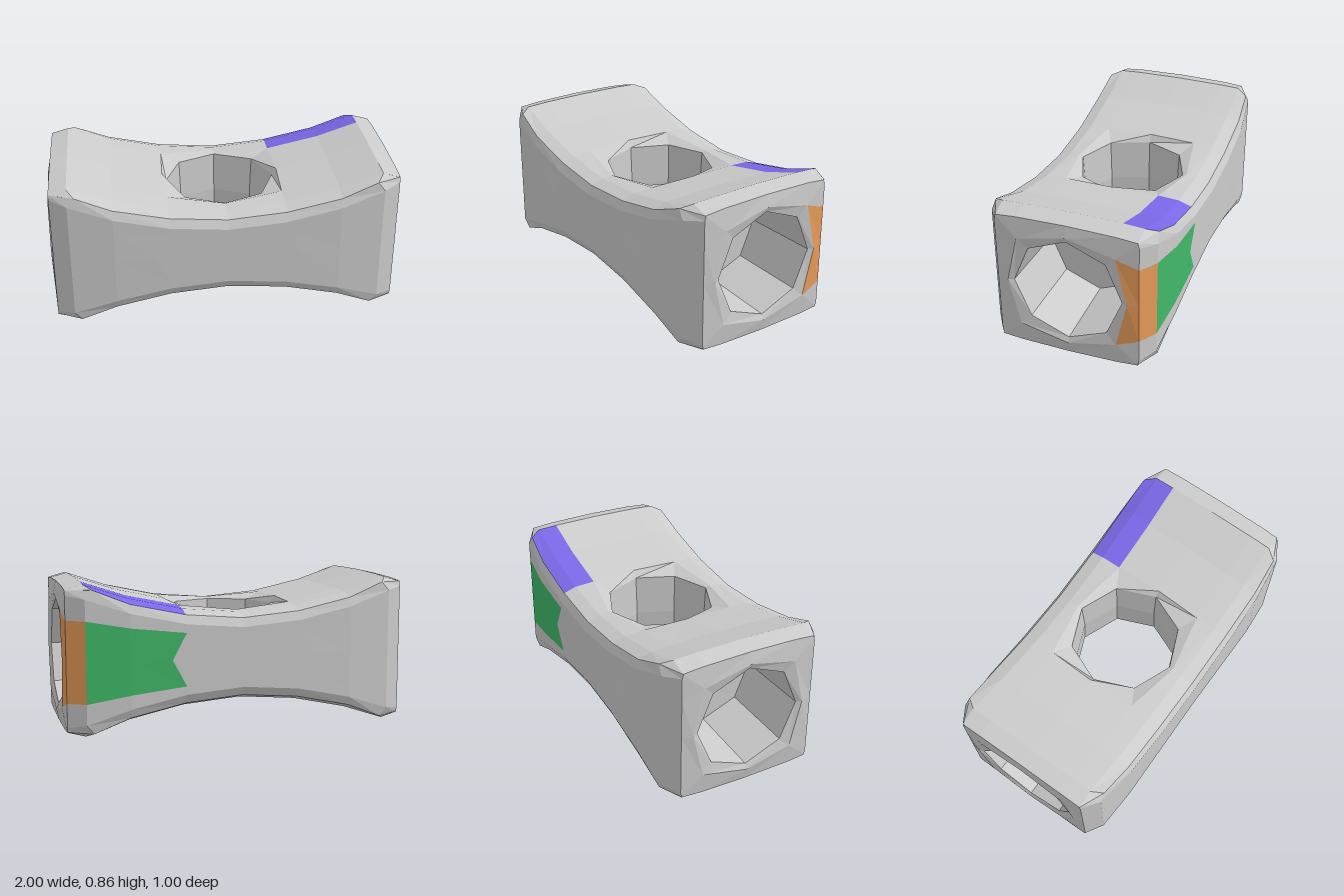
import * as THREE from 'three';

const MID = 0.432; // height of the centre axis
const v = (x, y, z) => new THREE.Vector3(x, y, z);

// Stations along the length: x, half height, half depth
const HALF = [[0, 0.255, 0.5], [0.33, 0.283, 0.5], [0.64, 0.35, 0.495], [0.885, 0.432, 0.47], [0.985, 0.41, 0.405]];
const STATIONS = [...HALF.slice(1).reverse().map(([x, h, w]) => [-x, h, w]), ...HALF];

// One of 24 points round a section: 0 top centre, 6 front, 12 bottom, 18 back
function sectionPoint([x, h, w], k) {
  k = (k + 24) % 24;
  const sz = k <= 12 ? 1 : -1;
  let j = k <= 12 ? k : 24 - k;
  const sy = j <= 6 ? 1 : -1;
  if (j > 6) j = 12 - j;
  const ax = Math.abs(x), end = ax > 0.9;
  const zs = [0, 0.28, 0.4, Math.min(0.475, w - 0.008), w, w, w];
  const ys = end
    ? [h, h - 0.006, h - 0.016, h - 0.018, h - 0.045, 0.23, 0]
    : [h, h - 0.004, h - 0.01, h - 0.035, h - 0.085, 0.53 * h, 0];
  let px = ax, z = zs[j];
  if (ax === 0 && j === 1) z = 0.34;                  // ring round the upright hole
  if (ax === 0.33 && j === 0) px = 0.34;
  if (ax === 0.33 && j === 6) px = 0.41;              // notch in the side faces
  if (ax === 0.885 && j === 3) px = 0.845;            // clipped corner
  return v(px * Math.sign(x), MID + sy * ys[j], sz * z);
}

export function createModel() {
  const parts = { body: [], topPatch: [], endPatch: [], backPatch: [] };
  const tri = (name, a, b, c) => {
    const area = b.clone().sub(a).cross(c.clone().sub(a)).length();
    if (area > 1e-7) for (const p of [a, b, c]) parts[name].push(p.x, p.y, p.z);
  };
  const quad = (name, a, b, c, d) => { tri(name, a, b, c); tri(name, a, c, d); };
  const bridge = (A, B) => A.forEach((a, i) => {
    const n = (i + 1) % A.length;
    quad('body', a, A[n], B[n], B[i]);
  });

  // Outer skin, left open round the upright hole
  const rings = STATIONS.map((s) => Array.from({ length: 24 }, (_, k) => sectionPoint(s, k)));
  for (let i = 0; i < 8; i++) for (let k = 0; k < 24; k++) {
    if ((i === 3 || i === 4) && [23, 0, 11, 12].includes(k)) continue;
    const n = (k + 1) % 24;
    const back = k === 17 || k === 18, rim = k === 21 || k === 22;
    let name = 'body';
    if ((i === 5 || i === 6) && rim) name = 'topPatch';
    if ((i === 5 || i === 6) && back) name = 'backPatch';
    if (i === 7 && back) name = 'endPatch';
    quad(name, rings[i][k], rings[i][n], rings[i + 1][n], rings[i + 1][k]);
  }

  // Upright octagonal hole, narrowing to the middle
  const loop = [[5, 0], [5, 23], [4, 23], [3, 23], [3, 0], [3, 1], [4, 1], [5, 1]];
  const octY = (r, y) => Array.from({ length: 8 }, (_, i) =>
    v(r * Math.cos(i * Math.PI / 4), y, -r * Math.sin(i * Math.PI / 4)));
  const chain = [
    loop.map(([i, k]) => rings[i][k]),
    octY(0.315, MID + 0.24), octY(0.303, MID), octY(0.315, MID - 0.24),
    loop.map(([i, k]) => rings[i][(36 - k) % 24]),
  ];
  for (let i = 0; i < 4; i++) bridge(chain[i], chain[i + 1]);

  // End faces with blind octagonal sockets
  const toEight = (k) => (k % 6 === 0 ? k / 3 : 2 * Math.floor(k / 6) + 1);
  for (const s of [1, -1]) {
    // the far end runs the other way round so that it faces outward
    const order = (p) => (s > 0 ? p : v(p.x, p.y, -p.z));
    const octX = (r, x) => Array.from({ length: 8 }, (_, i) =>
      order(v(s * x, MID + r * Math.cos(i * Math.PI / 4), r * Math.sin(i * Math.PI / 4))));
    const outer = rings[s > 0 ? 8 : 0].map(order);
    const ring = Array.from({ length: 8 }, (_, i) => {
      const a = i * Math.PI / 4, r = i % 2 ? 0.392 : 0.342;
      return order(v(s * 0.999, MID + r * Math.cos(a), r * Math.sin(a)));
    });
    for (let k = 0; k < 24; k++) {
      const n = (k + 1) % 24;
      const name = s > 0 && (k === 17 || k === 18) ? 'endPatch' : 'body';
      quad(name, outer[k], outer[n], ring[toEight(n)], ring[toEight(k)]);
    }
    const rim = octX(0.31, 0.985), floor = octX(0.296, 0.53);
    bridge(ring, rim);
    bridge(rim, floor);
    const centre = v(s * 0.53, MID, 0);
    floor.forEach((p, i) => tri('body', p, floor[(i + 1) % 8], centre));
  }

  const colors = { body: 0xcccccc, topPatch: 0x7a68e8, endPatch: 0xe89c5a, backPatch: 0x40b868 };
  const group = new THREE.Group();
  group.name = 'waistedBlock';
  for (const [name, pos] of Object.entries(parts)) {
    const geo = new THREE.BufferGeometry();
    geo.setAttribute('position', new THREE.Float32BufferAttribute(pos, 3));
    geo.computeVertexNormals();
    const mesh = new THREE.Mesh(geo, new THREE.MeshStandardMaterial({ color: colors[name], flatShading: true }));
    mesh.name = name;
    group.add(mesh);
  }
  return group;
}
